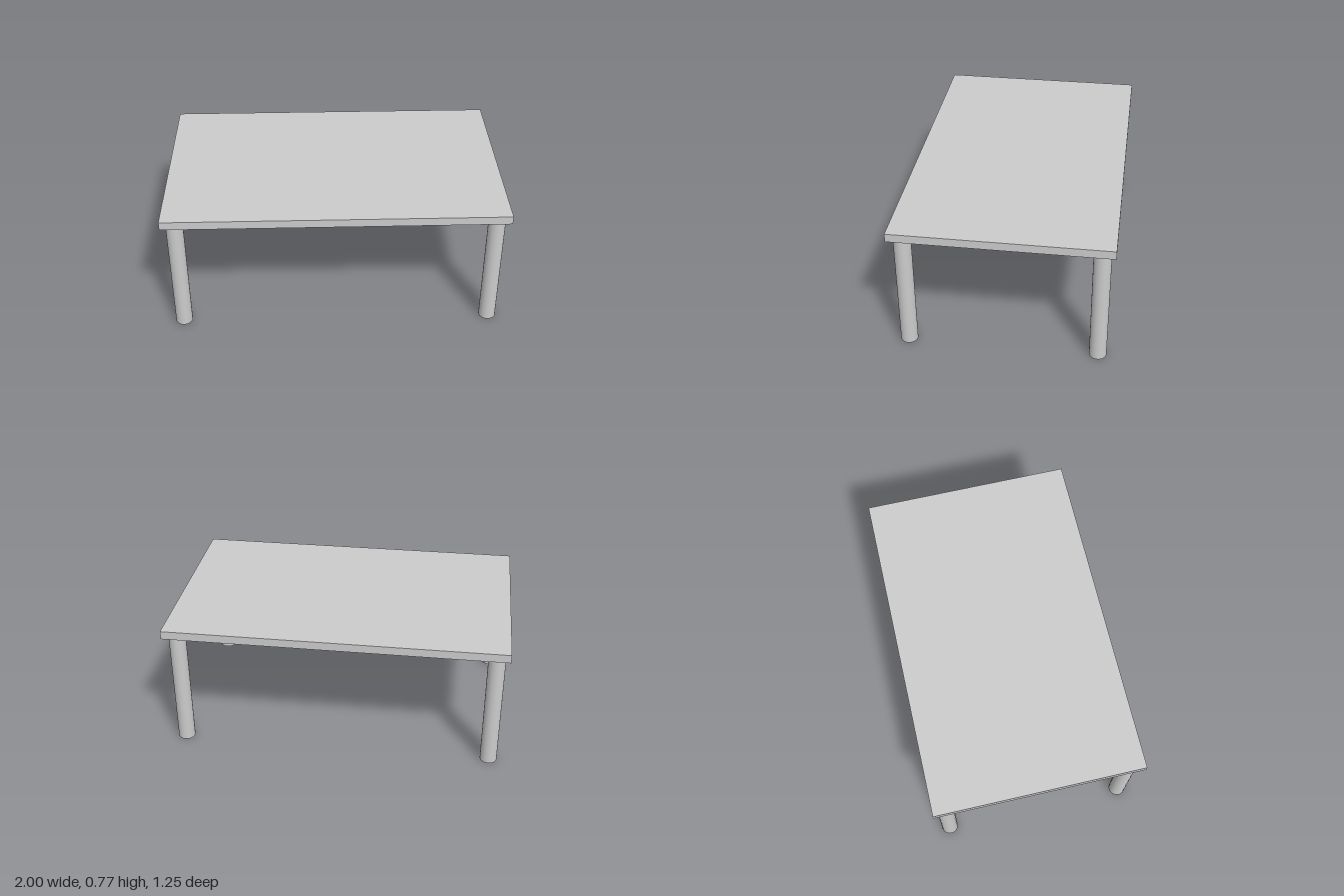
import * as THREE from 'three';

export function createModel() {
  const group = new THREE.Group();
  group.name = 'table';
  const material = new THREE.MeshStandardMaterial({ color: 0xcccccc });

  const width = 2, depth = 1.25, thickness = 0.05;
  const legHeight = 0.725, legRadius = 0.05, inset = 0.075;

  // Flat rectangular top
  const top = new THREE.Mesh(new THREE.BoxGeometry(width, thickness, depth), material);
  top.name = 'tableTop';
  top.position.y = legHeight + thickness / 2;
  group.add(top);

  // Four round legs, one near each corner
  const legGeometry = new THREE.CylinderGeometry(legRadius, legRadius, legHeight, 32);
  for (const [zName, sz] of [['front', 1], ['back', -1]]) {
    for (const [xName, sx] of [['Left', 1], ['Right', -1]]) {
      const leg = new THREE.Mesh(legGeometry, material);
      leg.name = `${zName}${xName}Leg`;
      leg.position.set(sx * (width / 2 - inset), legHeight / 2, sz * (depth / 2 - inset));
      group.add(leg);
    }
  }
  return group;
}
